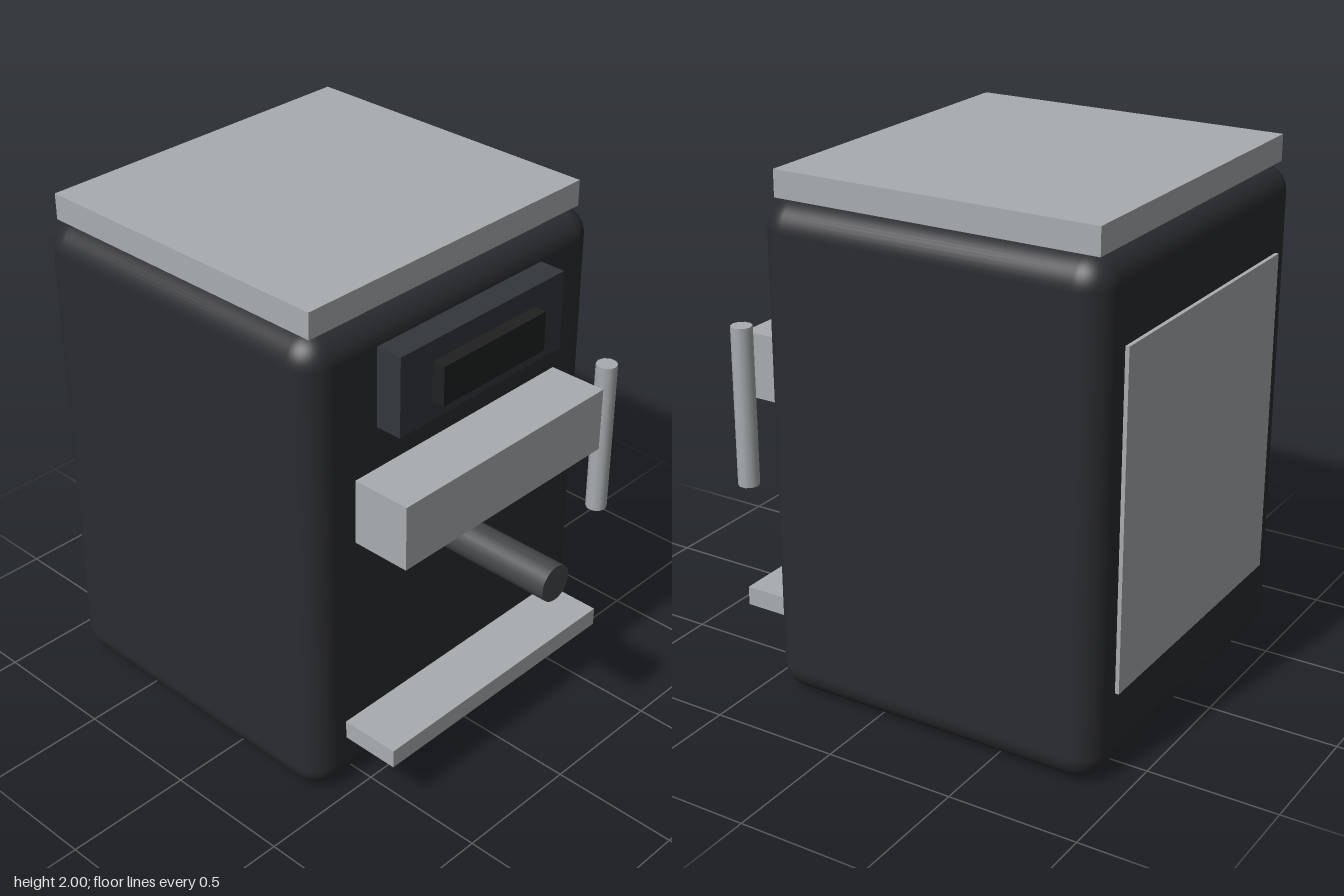
import * as THREE from 'three';
import { RoundedBoxGeometry } from 'three/addons/geometries/RoundedBoxGeometry.js';

const material = (color) => new THREE.MeshStandardMaterial({ color });

export function createModel() {
  const model = new THREE.Group();
  const shell = material(0x2b2c30);
  const steel = material(0xa9adb0);
  const bezel = material(0x33363c);
  const glass = material(0x202122);
  const pipe = material(0x46474a);

  const add = (name, geometry, mat, x, y, z) => {
    const mesh = new THREE.Mesh(geometry, mat);
    mesh.name = name;
    mesh.position.set(x, y, z);
    model.add(mesh);
    return mesh;
  };

  // Box centred on x = 0, given by its width and its y and z ranges
  const slab = (name, mat, width, y0, y1, z0, z1) =>
    add(name, new THREE.BoxGeometry(width, y1 - y0, z1 - z0), mat, 0, (y0 + y1) / 2, (z0 + z1) / 2);

  // Rounded housing
  const front = 0.45;
  const back = -0.905;
  add('body', new RoundedBoxGeometry(1.47, 1.9, front - back, 6, 0.11), shell, 0, 0.95, (front + back) / 2);

  // Top lid and rear service panel
  slab('lid', steel, 1.365, 1.9, 2, -0.865, 0.4);
  slab('backPanel', steel, 1.155, 0.32, 1.585, -0.92, -0.89);

  // Control panel with its display
  slab('controlPanel', bezel, 0.84, 1.48, 1.79, front - 0.03, 0.555);
  slab('display', glass, 0.526, 1.557, 1.71, 0.54, 0.607);

  // Dispensing head and drip tray
  slab('dispenserHead', steel, 1.05, 1.06, 1.315, front - 0.03, 0.685);
  slab('dripTray', steel, 1.155, 0.215, 0.29, front - 0.03, 0.685);

  // Spout pointing forward
  const spout = new THREE.CylinderGeometry(0.072, 0.072, 0.52, 24);
  add('spout', spout, pipe, 0, 0.845, 0.66).rotation.x = Math.PI / 2;

  // Upright handle beside the dispensing head
  add('handle', new THREE.CylinderGeometry(0.041, 0.041, 0.625, 10), steel, 0.605, 1.0575, 0.635);

  return model;
}
